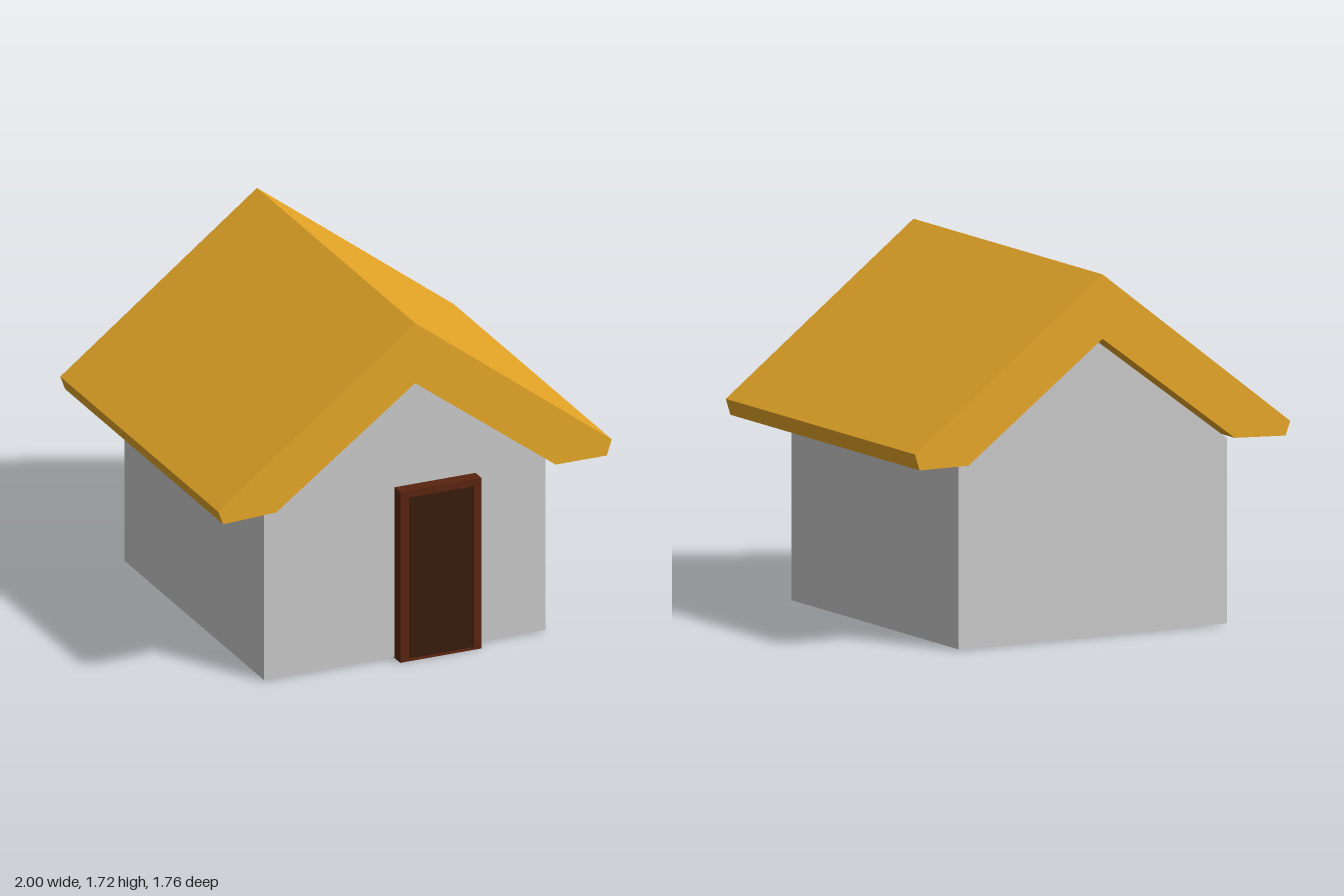
import * as THREE from 'three';

const material = (color) => new THREE.MeshStandardMaterial({ color, flatShading: true });

// Extrude an outline in the xy plane (optionally with a hole) from z0 to z1
function prism(name, points, z0, z1, mat, hole) {
  const toVectors = (list) => list.map(([x, y]) => new THREE.Vector2(x, y));
  const shape = new THREE.Shape(toVectors(points));
  if (hole) shape.holes.push(new THREE.Path(toVectors(hole)));
  const geometry = new THREE.ExtrudeGeometry(shape, { depth: z1 - z0, bevelEnabled: false });
  geometry.translate(0, 0, z0);
  const mesh = new THREE.Mesh(geometry, mat);
  mesh.name = name;
  return mesh;
}

const rect = (x0, y0, x1, y1) => [[x0, y0], [x1, y0], [x1, y1], [x0, y1]];

export function createModel() {
  const house = new THREE.Group();
  house.name = 'house';

  // Walls with gabled ends
  const wallOutline = [[-0.715, 0.005], [0.715, 0.005], [0.715, 0.875], [0, 1.405], [-0.715, 0.875]];
  house.add(prism('walls', wallOutline, -0.787, 0.765, material(0xcccccc)));

  // Thick pitched roof with cut eaves, overhanging both gables
  const roofOutline = [
    [-1, 0.945], [-0.975, 0.878], [-0.705, 0.89], [0, 1.415],
    [0.715, 0.88], [0.975, 0.88], [1, 0.957], [0, 1.717],
  ];
  house.add(prism('roof', roofOutline, -0.88, 0.88, material(0xe8a828)));

  // Door: a frame standing proud of the wall, with a slightly recessed panel
  const door = new THREE.Group();
  door.name = 'door';
  const opening = rect(-0.007, 0.006, 0.322, 0.822);
  door.add(
    prism('doorFrame', rect(-0.052, 0, 0.36, 0.857), 0.755, 0.83, material(0x5a2510), opening),
    prism('doorPanel', opening, 0.756, 0.815, material(0x381d0e)),
  );
  house.add(door);

  return house;
}
